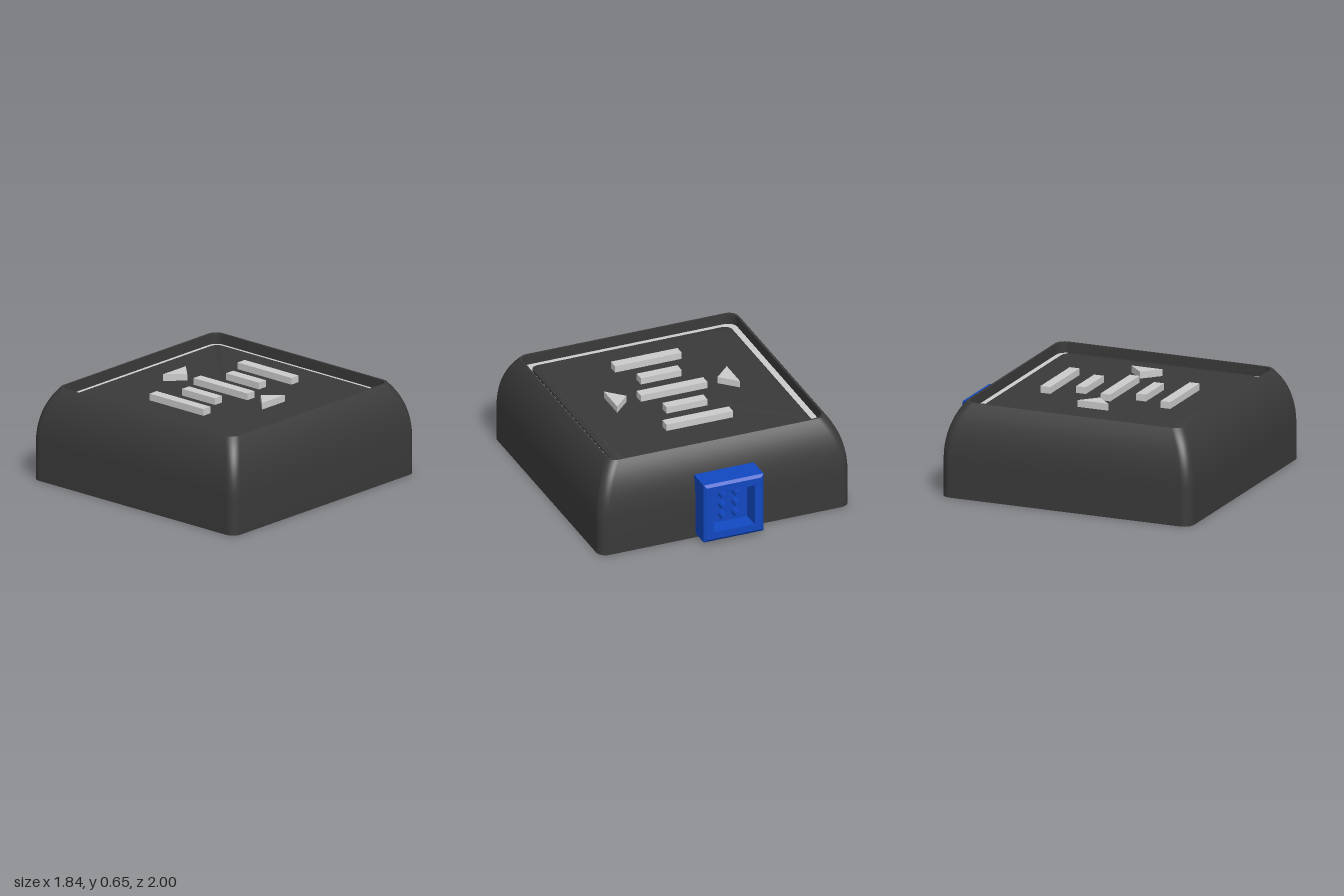
import * as THREE from 'three';
import { toCreasedNormals } from 'three/addons/utils/BufferGeometryUtils.js';

const dark = new THREE.MeshStandardMaterial({ color: 0x3a3a3a });
const grey = new THREE.MeshStandardMaterial({ color: 0xcccccc });
const blue = new THREE.MeshStandardMaterial({ color: 0x1148c0 });

// Points of a rounded square with half size h and corner radius r at height y
function squareRing(h, y, r) {
  const pts = [], n = r > 0 ? 8 : 0;
  for (let c = 0; c < 4; c++) {
    const mid = Math.PI / 4 + c * Math.PI / 2;
    const cx = Math.sign(Math.cos(mid)) * (h - r), cz = Math.sign(Math.sin(mid)) * (h - r);
    for (let i = 0; i <= n; i++) {
      const a = c * Math.PI / 2 + (n ? i / n : 0) * Math.PI / 2;
      pts.push([cx + r * Math.cos(a), y, cz + r * Math.sin(a)]);
    }
  }
  return pts;
}

// Skin a profile of [half size, height] with rounded squares; caps are optional
function loft(profile, r, { start = false, end = false, smooth = false } = {}) {
  const pos = [], index = [];
  const rings = profile.map(([h, y]) => squareRing(h, y, r));
  const n = rings[0].length;
  rings.forEach((ring) => ring.forEach((p) => pos.push(...p)));
  for (let k = 0; k < rings.length - 1; k++) {
    for (let i = 0; i < n; i++) {
      const j = (i + 1) % n, a = k * n + i, b = k * n + j;
      index.push(a, a + n, b, b, a + n, b + n);
    }
  }
  const cap = (ring, up) => {
    const base = pos.length / 3;
    ring.forEach((p) => pos.push(...p));
    for (let i = 1; i < n - 1; i++) {
      if (up) index.push(base, base + i + 1, base + i);
      else index.push(base, base + i, base + i + 1);
    }
  };
  if (start) cap(rings[0], false);
  if (end) cap(rings[rings.length - 1], true);
  const geo = new THREE.BufferGeometry();
  geo.setAttribute('position', new THREE.Float32BufferAttribute(pos, 3));
  geo.setIndex(index);
  geo.computeVertexNormals();
  return smooth ? geo : toCreasedNormals(geo, 0.4);
}

function add(parent, name, geo, mat, x = 0, y = 0, z = 0) {
  const mesh = new THREE.Mesh(geo, mat);
  mesh.name = name;
  mesh.position.set(x, y, z);
  parent.add(mesh);
  return mesh;
}

export function createModel() {
  const model = new THREE.Group();
  model.name = 'buttonModule';

  const housing = new THREE.Group();
  housing.name = 'housing';
  housing.position.z = 0.077;
  model.add(housing);

  // Outer shell: straight walls curving in towards the top
  const shoulder = new THREE.QuadraticBezierCurve(
    new THREE.Vector2(0.922, 0.25), new THREE.Vector2(0.922, 0.5), new THREE.Vector2(0.802, 0.65));
  const wall = [[0.922, 0], ...shoulder.getPoints(14).map((p) => [p.x, p.y])];
  add(housing, 'shell', loft(wall, 0.07, { start: true, smooth: true }), dark);

  // Narrow rim and the recess inside it
  add(housing, 'rim', loft([[0.802, 0.65], [0.787, 0.65], [0.787, 0.57]], 0.07), dark);
  add(housing, 'lightRing', loft([[0.788, 0.575], [0.728, 0.575]], 0.065), grey);
  add(housing, 'topPlate',
    loft([[0.733, 0.565], [0.733, 0.588], [0.708, 0.602]], 0.055, { end: true }), dark);

  // Raised bars, alternating long and short
  for (let i = -2; i <= 2; i++) {
    const length = i % 2 ? 0.3 : 0.49;
    add(housing, 'bar', new THREE.BoxGeometry(length, 0.05, 0.072), grey, 0, 0.625, i * 0.222);
  }

  // Raised triangles pointing inwards
  for (const side of [-1, 1]) {
    const shape = new THREE.Shape();
    shape.moveTo(side * 0.335, 0);
    shape.lineTo(side * 0.452, 0.115);
    shape.lineTo(side * 0.452, -0.115);
    const geo = new THREE.ExtrudeGeometry(shape, { depth: 0.05, bevelEnabled: false });
    geo.rotateX(-Math.PI / 2);
    add(housing, side > 0 ? 'leftArrow' : 'rightArrow', geo, grey, 0, 0.6, 0);
  }

  // Rear connector, lofted upwards and then turned to face the back
  const connector = new THREE.Group();
  connector.name = 'connector';
  connector.position.set(0, 0.25, -0.8);
  connector.rotation.x = -Math.PI / 2;
  model.add(connector);
  add(connector, 'socket', loft([
    [0.22, 0], [0.22, 0.185], [0.2, 0.2], [0.15, 0.2], [0.14, 0.09],
  ], 0, { start: true, end: true }), blue);

  // Two columns of three contact pins
  for (const x of [-0.05, 0.05]) {
    for (const row of [-1, 0, 1]) {
      add(connector, 'pin', new THREE.CylinderGeometry(0.025, 0.025, 0.07, 16), blue, x, 0.12, row * 0.08);
    }
  }
  return model;
}
